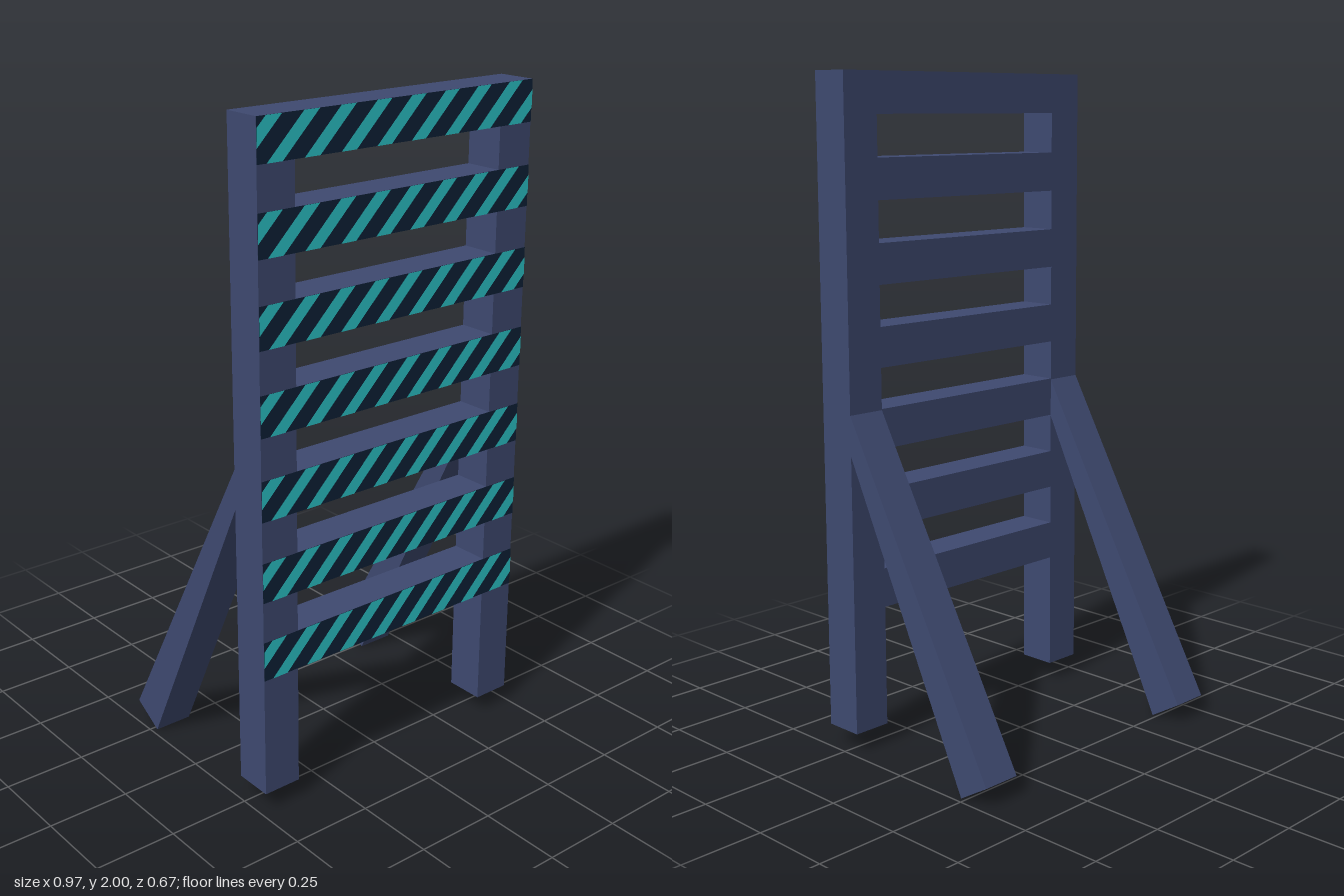
import * as THREE from 'three';

const HALF = 0.483, BAR = 0.12, BACK = 0.212, FRONT = 0.333;

export function createModel() {
  const model = new THREE.Group();
  const material = (name, color) => new THREE.MeshStandardMaterial({ name, color });
  const frame = material('slate blue', 0x3e4970);
  const navy = material('dark navy', 0x0d2137);
  const teal = material('teal', 0x2bc4c8);

  const add = (name, geometry, mat, x = 0, y = 0, z = 0) => {
    const mesh = new THREE.Mesh(geometry, mat);
    mesh.name = name;
    mesh.position.set(x, y, z);
    model.add(mesh);
  };

  // Upright posts and tapered rear struts, mirrored
  const strut = new THREE.Shape([
    [-0.212, 1.03], [-0.212, 0.91], [0.235, 0], [0.335, 0.06],
  ].map(([x, y]) => new THREE.Vector2(x, y)));
  const strutGeometry = new THREE.ExtrudeGeometry(strut, { depth: BAR, bevelEnabled: false });
  strutGeometry.rotateY(Math.PI / 2).translate(-BAR / 2, 0, 0);
  const midZ = (BACK + FRONT) / 2, depth = FRONT - BACK;
  for (const [side, sign] of [['left', 1], ['right', -1]]) {
    const x = sign * (HALF - BAR / 2);
    add(side + 'Post', new THREE.BoxGeometry(BAR, 1.94, depth), frame, x, 1.03, midZ);
    add(side + 'Strut', strutGeometry, frame, x);
  }

  // Diagonal bands, clipped to the ends of a slat
  const clip = (points, limit, sign) => {
    const out = [];
    points.forEach((a, i) => {
      const b = points[(i + 1) % points.length];
      const da = sign * (limit - a.x), db = sign * (limit - b.x);
      if (da >= 0) out.push(a);
      if (da * db < 0) out.push(a.clone().lerp(b, da / (da - db)));
    });
    return out;
  };
  const pitch = HALF * 2 / 8, width = pitch * 0.42, h = BAR / 2;
  const bands = [];
  for (let i = -1; i < 8; i++) {
    const x = -HALF + i * pitch + 0.03;
    let points = [[x, -h], [x + width, -h], [x + width + BAR, h], [x + BAR, h]]
      .map(p => new THREE.Vector2(...p));
    points = clip(clip(points, HALF, 1), -HALF, -1);
    if (points.length > 2) bands.push(new THREE.Shape(points));
  }
  const bandGeometry = new THREE.ShapeGeometry(bands);

  // Seven slats with striped faces
  for (let i = 0; i < 7; i++) {
    const y = 1.94 - i * 0.2417;
    add('slat', new THREE.BoxGeometry((HALF - BAR) * 2, BAR, depth), frame, 0, y, midZ);
    add('slatFace', new THREE.PlaneGeometry(HALF * 2, BAR), navy, 0, y, FRONT + 0.001);
    add('slatStripes', bandGeometry, teal, 0, y, FRONT + 0.002);
  }
  return model;
}
